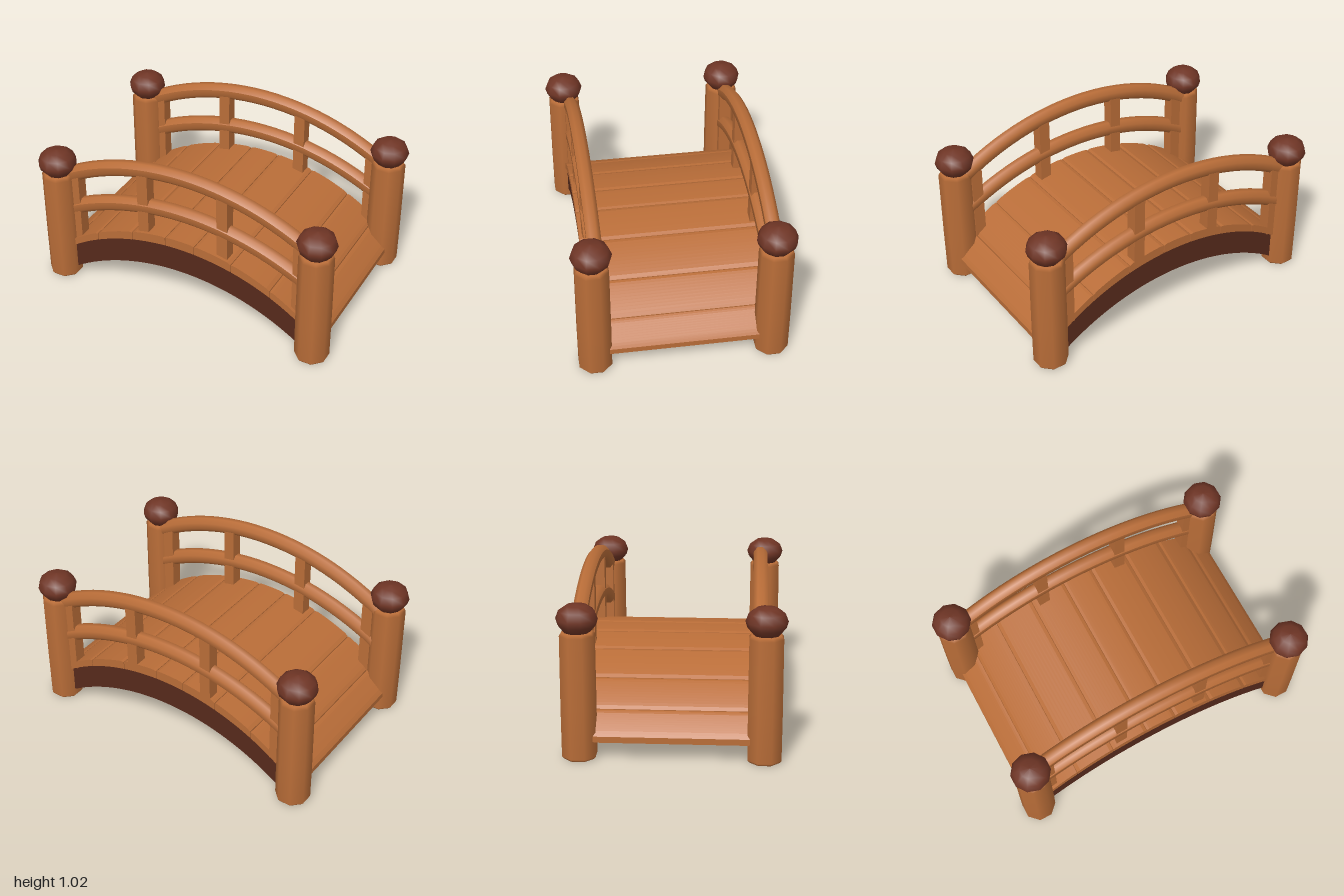
import * as THREE from 'three';

const wood = new THREE.MeshStandardMaterial({ color: 0xb96d38 });
wood.name = 'warm wood';
const cap = new THREE.MeshStandardMaterial({ color: 0x6f3525 });
cap.name = 'cap brown';
const dark = new THREE.MeshStandardMaterial({ color: 0x56291b });
dark.name = 'dark beam';

// Height on a circular arch with its crown at `top`
const arch = (x, top, r) => top - r + Math.sqrt(r * r - x * x);
const deckTop = (x) => arch(x, 0.542, 1.315);
const plankUnder = (x) => Math.max(deckTop(x) - 0.062 + 0.025 * x * x, 0.107);
const beamUnder = (x) => arch(x, 0.3, 1.4);

// Closed slab between two height curves, extruded from z0 to z1
function slab(name, x0, x1, upper, lower, z0, z1, n, material) {
  const pts = [];
  for (let i = 0; i <= n; i++) {
    const x = x0 + ((x1 - x0) * i) / n;
    pts.push(new THREE.Vector2(x, lower(x)));
  }
  for (let i = n; i >= 0; i--) {
    const x = x0 + ((x1 - x0) * i) / n;
    pts.push(new THREE.Vector2(x, upper(x)));
  }
  const geo = new THREE.ExtrudeGeometry(new THREE.Shape(pts), { depth: z1 - z0, bevelEnabled: false });
  geo.translate(0, 0, z0);
  const mesh = new THREE.Mesh(geo, material);
  mesh.name = name;
  return mesh;
}

function lathe(name, profile, sides, start, material) {
  const geo = new THREE.LatheGeometry(profile.map(([r, y]) => new THREE.Vector2(r, y)), sides, start);
  const mesh = new THREE.Mesh(geo, material);
  mesh.name = name;
  return mesh;
}

// Eight-sided corner post with softened ends and a faceted round cap
function cornerPost(x, z) {
  const g = new THREE.Group();
  g.name = 'cornerPost';
  g.add(lathe('post', [[0, 0], [0.094, 0], [0.106, 0.015], [0.107, 0.3], [0.105, 0.74], [0.09, 0.758], [0, 0.765]], 8, Math.PI / 8, wood));
  g.add(lathe('postCap', [[0, 0.752], [0.076, 0.758], [0.11, 0.798], [0.121, 0.835], [0.103, 0.882], [0.06, 0.912], [0, 0.921]], 10, 0, cap));
  g.position.set(x, 0, z);
  return g;
}

// Eight-sided bar, flat side up, bent around a circle of radius r
function rail(name, top, r, z) {
  const geo = new THREE.CylinderGeometry(0.049, 0.049, 1.78, 8, 24, true, Math.PI / 8);
  geo.rotateZ(Math.PI / 2);
  const p = geo.attributes.position;
  for (let i = 0; i < p.count; i++) {
    const a = p.getX(i) / r;
    const d = r + p.getY(i) * 1.05;
    p.setXYZ(i, d * Math.sin(a), d * Math.cos(a) + top - r, z + p.getZ(i) * 0.94);
  }
  geo.computeVertexNormals();
  const mesh = new THREE.Mesh(geo, wood);
  mesh.name = name;
  return mesh;
}

// Two arched rails and their square uprights on one side
function railing(z) {
  const g = new THREE.Group();
  g.name = 'railing';
  g.add(rail('topRail', 0.968, 1.586, z), rail('middleRail', 0.708, 1.66, z));
  for (const x of [-0.77, -0.273, 0.27, 0.77]) {
    const bottom = deckTop(x) - 0.03;
    const top = arch(x, 0.965, 1.586);
    const m = new THREE.Mesh(new THREE.BoxGeometry(0.072, top - bottom, 0.076), wood);
    m.position.set(x, (top + bottom) / 2, z);
    m.name = 'baluster';
    g.add(m);
  }
  return g;
}

export function createModel() {
  const bridge = new THREE.Group();
  bridge.name = 'archedBridge';

  for (const x of [-0.88, 0.88]) {
    bridge.add(cornerPost(x, 0.53), cornerPost(x, -0.54));
  }
  bridge.add(railing(0.495), railing(-0.547));

  // Arched wooden core
  bridge.add(slab('deckCore', -0.93, 0.93, (x) => Math.max(deckTop(x) - 0.045, 0.112),
    (x) => Math.max(beamUnder(x), 0.107), -0.53, 0.5, 40, wood));

  // Side beams: dark flanks, wooden underside, deeper than the core at the ends
  for (const [z0, z1] of [[-0.57, -0.53], [0.5, 0.54]]) {
    bridge.add(slab('sideBeam', -0.82, 0.82, (x) => plankUnder(x) + 0.01, beamUnder, z0, z1, 40, [dark, wood]));
  }

  // Deck planks with narrow gaps and eased top edges; the end ones stop inside the posts
  const seams = [-0.937, -0.8, -0.6, -0.345, -0.11, 0.09, 0.34, 0.6, 0.8, 0.937];
  for (let i = 0; i < seams.length - 1; i++) {
    const x0 = seams[i] + 0.002;
    const x1 = seams[i + 1] - 0.002;
    const ease = (x) => deckTop(x) - 0.006 * Math.max(0, 1 - Math.min(x - x0, x1 - x) / 0.018);
    const inset = i % 8 === 0 ? 0.06 : 0;
    bridge.add(slab('deckPlank', x0, x1, ease, plankUnder, -0.585 + inset, 0.552 - inset, 12, wood));
  }
  return bridge;
}
